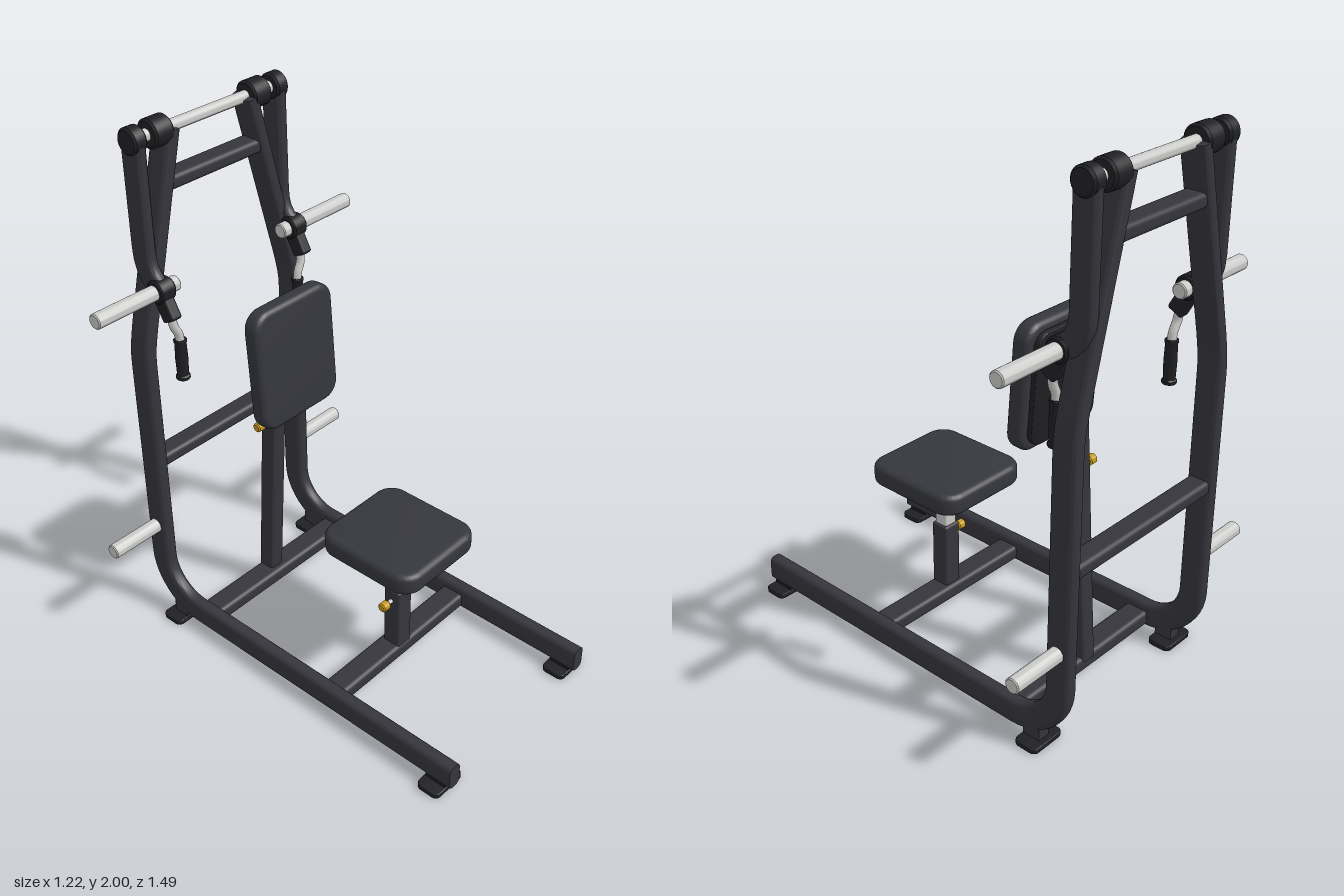
import * as THREE from 'three';
import { toCreasedNormals } from 'three/addons/utils/BufferGeometryUtils.js';
import { RoundedBoxGeometry } from 'three/addons/geometries/RoundedBoxGeometry.js';

const paint = (name, color) => Object.assign(new THREE.MeshStandardMaterial({ color }), { name });
const V = (x, y, z) => new THREE.Vector3(x, y, z);

// Rounded rectangle outline centred on the origin
function roundRect(w, h, r) {
  const s = new THREE.Shape(), a = w / 2 - r, b = h / 2 - r;
  s.absarc(a, b, r, 0, Math.PI / 2);
  s.absarc(-a, b, r, Math.PI / 2, Math.PI);
  s.absarc(-a, -b, r, Math.PI, Math.PI * 1.5);
  s.absarc(a, -b, r, Math.PI * 1.5, Math.PI * 2);
  return s;
}

// Sweeps a rounded box section (w across x, d in the bending plane) along points
function boxTube(points, w, d, r) {
  const ring = roundRect(w, d, r).getPoints(5).slice(0, -1), n = ring.length;
  const pos = [], idx = [];
  points.forEach((p, i) => {
    const prev = points[Math.max(i - 1, 0)], next = points[Math.min(i + 1, points.length - 1)];
    const t = next.clone().sub(prev).normalize();
    const u = t.clone().cross(V(1, 0, 0)).normalize(), s = u.clone().cross(t);
    ring.forEach(q => pos.push(...p.clone().addScaledVector(s, q.x).addScaledVector(u, q.y).toArray()));
  });
  const last = (points.length - 1) * n;
  for (let i = 0; i < last; i += n) {
    for (let j = 0; j < n; j++) {
      const k = (j + 1) % n;
      idx.push(i + j, i + k, i + n + k, i + j, i + n + k, i + n + j);
    }
  }
  for (let j = 1; j < n - 1; j++) idx.push(0, j + 1, j, last, last + j, last + j + 1);
  const g = new THREE.BufferGeometry();
  g.setAttribute('position', new THREE.Float32BufferAttribute(pos, 3));
  g.setIndex(idx);
  return toCreasedNormals(g, 0.6);
}

// Cushion or plate facing +z, with softened edges
function cushion(w, h, depth, r, bevel) {
  const g = new THREE.ExtrudeGeometry(roundRect(w - 2 * bevel, h - 2 * bevel, r - bevel), {
    depth: depth - 2 * bevel, bevelSize: bevel, bevelThickness: bevel, bevelSegments: 5, curveSegments: 8,
  });
  g.translate(0, 0, bevel);
  return toCreasedNormals(g, 0.6);
}

// Cylinder along x from x0 to x1, with chamfered rims
function rod(x0, x1, r, c = 0.004) {
  const a = Math.min(x0, x1), b = Math.max(x0, x1);
  const profile = [[0, a], [r - c, a], [r, a + c], [r, b - c], [r - c, b], [0, b]];
  const g = new THREE.LatheGeometry(profile.map(p => new THREE.Vector2(...p)), 28);
  return toCreasedNormals(g.rotateZ(-Math.PI / 2).scale(-1, -1, 1), 0.6);
}

export function createModel() {
  const frame = paint('frame charcoal', 0x36353c);
  const pad = paint('upholstery', 0x36373d);
  const black = paint('black rubber', 0x202024);
  const steel = paint('bright steel', 0xcacac8);
  const brass = paint('yellow knob', 0xc79a1c);

  const model = new THREE.Group();
  const add = (name, geometry, material, x = 0, y = 0, z = 0, parent = model) => {
    const m = new THREE.Mesh(geometry, material);
    m.name = name;
    m.position.set(x, y, z);
    parent.add(m);
    return m;
  };

  for (const s of [1, -1]) {
    const side = s > 0 ? 'left' : 'right';

    // Floor rail bending up into the upright, which leans inward at the top
    const path = [V(s * 0.371, 0.073, 0.745)];
    for (let i = 0; i <= 12; i++) {
      const a = (i / 12) * Math.PI / 2;
      path.push(V(s * 0.371, 0.263 - 0.19 * Math.cos(a), -0.505 - 0.19 * Math.sin(a)));
    }
    for (const [x, y] of [[0.371, 1.12], [0.37, 1.16], [0.365, 1.2], [0.357, 1.24], [0.348, 1.28], [0.18, 1.95]])
      path.push(V(s * x, y, -0.695));
    add(side + 'SideFrame', boxTube(path, 0.054, 0.098, 0.02), frame);

    // Feet
    const foot = (h) => cushion(0.147, 0.094, h, 0.022, 0.003).rotateX(-Math.PI / 2);
    add(side + 'FrontFoot', foot(0.02), black, s * 0.371, 0, 0.681);
    add(side + 'FrontFootSpacer', new THREE.BoxGeometry(0.05, 0.015, 0.085), black, s * 0.371, 0.024, 0.681);
    add(side + 'RearFoot', foot(0.02), black, s * 0.371, 0, -0.606);
    add(side + 'RearFootSpacer', new THREE.BoxGeometry(0.05, 0.05, 0.07), frame, s * 0.371, 0.042, -0.595);

    // Pivot collars on the top shaft
    add(side + 'ShaftCollar', rod(s * 0.183, s * 0.265, 0.052, 0.008), black, 0, 1.947, -0.695);
    add(side + 'ShaftSpacer', rod(s * 0.26, s * 0.3, 0.022), steel, 0, 1.947, -0.695);
    add(side + 'ArmHub', rod(s * 0.296, s * 0.351, 0.048, 0.008), black, 0, 1.947, -0.695);

    // Swinging arm
    const arm = [[1.95, -0.695], [1.56, -0.695], [1.52, -0.692], [1.485, -0.682], [1.455, -0.663], [1.43, -0.635]]
      .map(([y, z]) => V(s * 0.322, y, z));
    add(side + 'Arm', boxTube(arm, 0.046, 0.09, 0.018), frame);
    add(side + 'PegHub', rod(s * 0.289, s * 0.355, 0.043, 0.006), black, 0, 1.428, -0.622);
    const bracket = add(side + 'HandleBracket', new RoundedBoxGeometry(0.046, 0.12, 0.062, 3, 0.01), black, s * 0.322, 1.378, -0.604);
    bracket.rotation.x = -0.5;

    // Weight pegs
    add(side + 'UpperWeightPeg', rod(s * 0.253, s * 0.612, 0.028), steel, 0, 1.428, -0.624);
    add(side + 'LowerWeightPeg', rod(s * 0.38, s * 0.612, 0.028), steel, 0, 0.41, -0.695);

    // Handle
    const bend = new THREE.CatmullRomCurve3([
      V(s * 0.316, 1.36, -0.592), V(s * 0.316, 1.3, -0.584), V(s * 0.297, 1.255, -0.582), V(s * 0.294, 1.2, -0.582)]);
    add(side + 'HandleStem', new THREE.TubeGeometry(bend, 20, 0.016, 12), steel);
    const grip = [[0, -0.08], [0.024, -0.08], [0.026, -0.077], [0.026, -0.068], [0.021, -0.062],
      [0.023, 0], [0.021, 0.065], [0.024, 0.07], [0.024, 0.078], [0.022, 0.08], [0, 0.08]];
    add(side + 'HandleGrip', toCreasedNormals(new THREE.LatheGeometry(grip.map(p => new THREE.Vector2(...p)), 20), 0.6),
      black, s * 0.294, 1.157, -0.582);
  }

  // Top shaft and cross members
  add('topShaft', rod(-0.2, 0.2, 0.021), steel, 0, 1.947, -0.695);
  const beam = (name, w, h, d, y, z) => add(name, new RoundedBoxGeometry(w, h, d, 4, 0.018), frame, 0, y, z);
  beam('upperCrossbar', 0.43, 0.053, 0.085, 1.767, -0.695);
  beam('middleCrossbar', 0.72, 0.053, 0.085, 0.706, -0.695);
  beam('rearFloorBeam', 0.72, 0.06, 0.097, 0.062, -0.473);
  beam('frontFloorBeam', 0.72, 0.06, 0.097, 0.062, 0.17);

  // Seat
  add('seatPost', new RoundedBoxGeometry(0.074, 0.28, 0.074, 3, 0.01), frame, 0, 0.209, 0.176);
  add('seatSlider', new RoundedBoxGeometry(0.056, 0.22, 0.056, 3, 0.008), steel, 0, 0.41, 0.176);
  add('seatPlate', cushion(0.33, 0.35, 0.025, 0.05, 0.003).rotateX(-Math.PI / 2), black, 0, 0.51, 0.172);
  add('seatCushion', cushion(0.405, 0.425, 0.084, 0.075, 0.024).rotateX(-Math.PI / 2), pad, 0, 0.527, 0.172);

  // Backrest post and cushion, leaning back together
  add('backPost', boxTube([V(0, 0.075, -0.49), V(0, 1.12, -0.418)], 0.066, 0.072, 0.015), frame);
  const backrest = new THREE.Group();
  backrest.name = 'backrest';
  backrest.position.set(0, 1.137, -0.335);
  backrest.rotation.x = -0.065;
  model.add(backrest);
  add('backCushion', cushion(0.383, 0.468, 0.07, 0.07, 0.022), pad, 0, 0, -0.03, backrest);
  add('backPlate', cushion(0.32, 0.41, 0.022, 0.05, 0.003), black, 0, 0, -0.05, backrest);

  // Adjustment knobs
  for (const [name, y, z] of [['seat', 0.3, 0.176], ['back', 0.82, -0.436]]) {
    add(name + 'PinStem', rod(0.025, 0.068, 0.008, 0.002), steel, 0, y, z);
    add(name + 'PinKnob', rod(0.058, 0.094, 0.018, 0.005), brass, 0, y, z);
  }

  return model;
}
